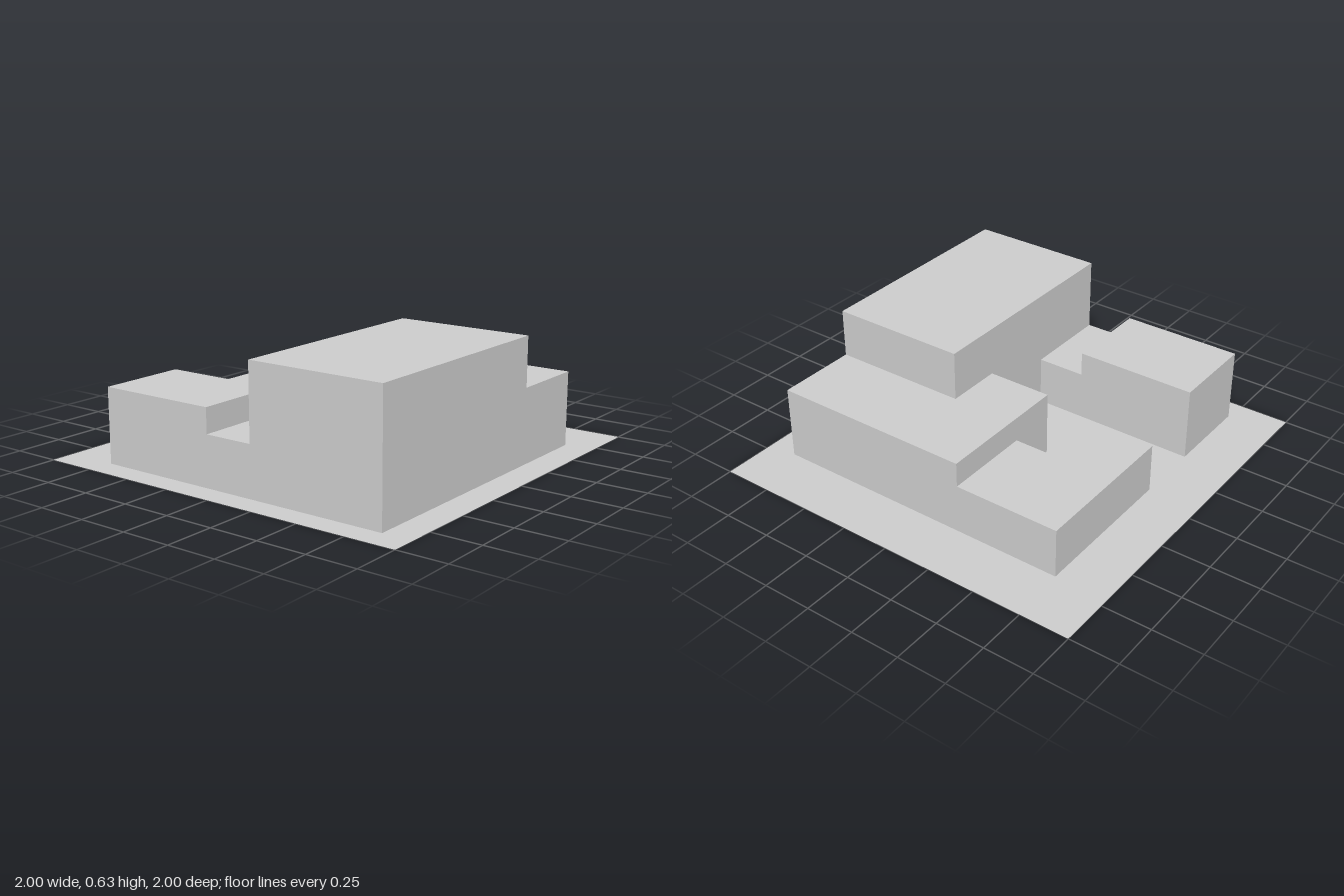
import * as THREE from 'three';

const material = new THREE.MeshStandardMaterial({ color: 0xcccccc, flatShading: true });
const groundMaterial = new THREE.MeshStandardMaterial({ color: 0xcccccc, side: THREE.DoubleSide });

// Upright block raised from a footprint of [x, z] corners
function block(name, height, footprint) {
  const shape = new THREE.Shape(footprint.map(([x, z]) => new THREE.Vector2(x, -z)));
  const geometry = new THREE.ExtrudeGeometry(shape, { depth: height, bevelEnabled: false });
  geometry.rotateX(-Math.PI / 2);
  const mesh = new THREE.Mesh(geometry, material);
  mesh.name = name;
  return mesh;
}

const rect = (x0, x1, z0, z1) => [[x0, z1], [x1, z1], [x1, z0], [x0, z0]];

export function createModel() {
  const model = new THREE.Group();
  model.name = 'buildingOnPlot';

  const tall = 0.628, middle = 0.378, low = 0.253;

  // Flat plot under the building
  const plot = new THREE.Mesh(new THREE.PlaneGeometry(2, 2).rotateX(-Math.PI / 2), groundMaterial);
  plot.name = 'plot';
  model.add(plot);

  // Tall hall along the front
  model.add(block('mainHall', tall, rect(-0.877, 0.29, 0.145, 0.851)));

  // Mid-height wing wrapping round the hall's corner
  model.add(block('sideWing', middle, [
    [0.29, 0.851], [0.708, 0.851], [0.708, -0.19], [0, -0.19], [0, 0.145], [0.29, 0.145],
  ]));

  // Low L-shaped wing at the back
  model.add(block('backWing', low, [
    [0.253, -0.19], [0.708, -0.19], [0.708, -0.733], [-0.085, -0.733], [-0.085, -0.359], [0.253, -0.359],
  ]));

  // Separate rear block and the low link joining it to the hall
  model.add(block('rearBlock', middle, rect(-0.877, -0.422, -0.733, -0.107)));
  model.add(block('link', low, rect(-0.877, -0.422, -0.107, 0.145)));

  return model;
}
